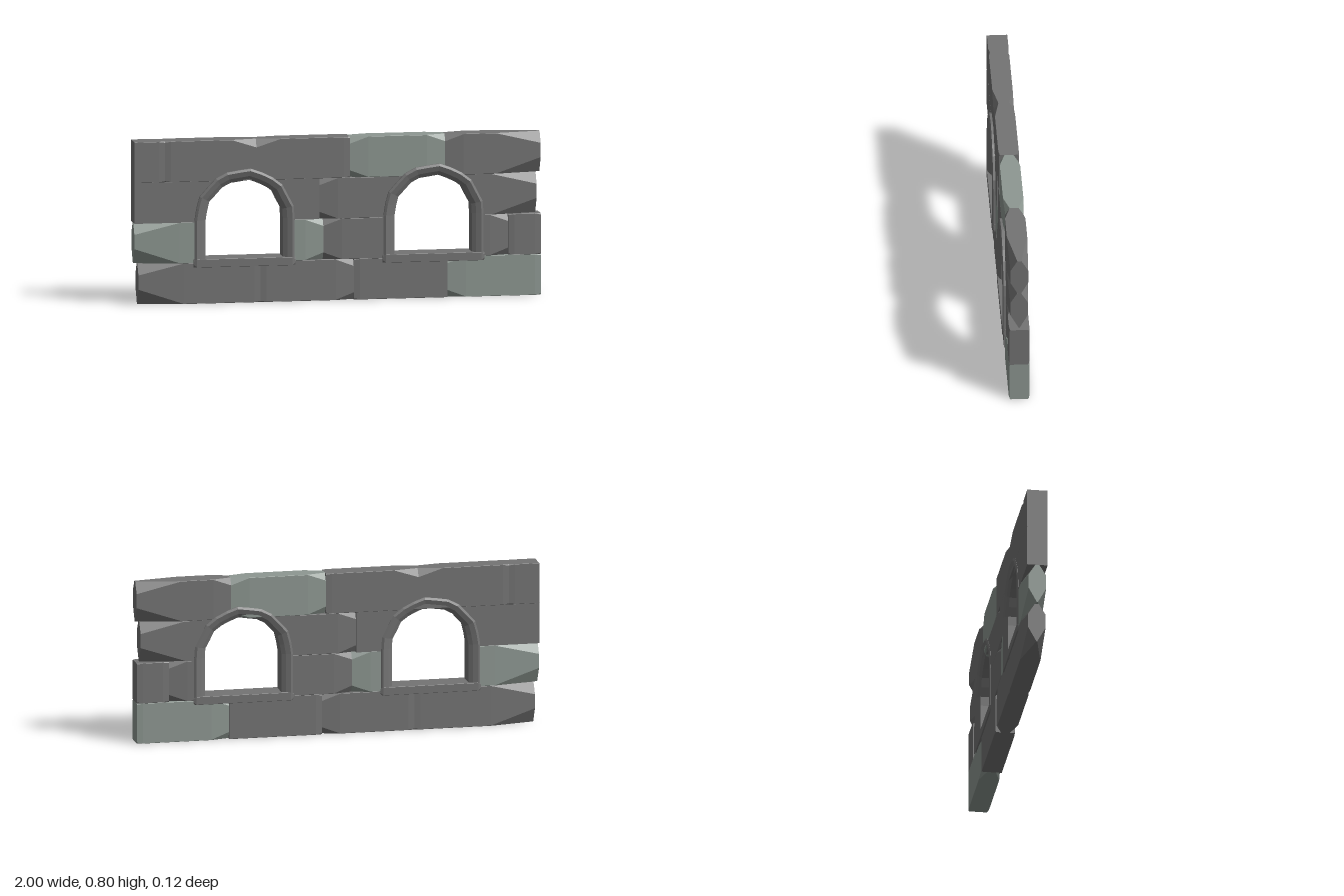
import * as THREE from 'three';

const stone = new THREE.MeshStandardMaterial({ color: 0x747474, flatShading: true });
const mossy = new THREE.MeshStandardMaterial({ color: 0x8e9892, flatShading: true });
const DEPTH = 0.05, WALL_Z = -0.005, COURSE = 0.2;

// Ways a block can end: taper length, top chamfer, bottom chamfer, depth inset.
const flush = [0.02, 0, 0, 0];
const tight = [0.03, 0.006, 0.006, 0.003];
const chipped = [0.09, 0.035, 0.035, 0.007];
const worn = [0.22, 0.055, 0.075, 0.007];

// Skin a list of equal-length point rings and cap both ends.
function loft(rings) {
  const n = rings[0].length, idx = [];
  rings.slice(1).forEach((_, i) => {
    for (let j = 0; j < n; j++) {
      const a = i * n + j, b = i * n + (j + 1) % n;
      idx.push(a, b, b + n, a, b + n, a + n);
    }
  });
  const last = (rings.length - 1) * n;
  for (let j = 1; j < n - 1; j++) idx.push(0, j + 1, j, last, last + j, last + j + 1);
  const g = new THREE.BufferGeometry();
  g.setAttribute('position', new THREE.Float32BufferAttribute(rings.flat(2), 3));
  g.setIndex(idx);
  const flat = g.toNonIndexed();
  flat.computeVertexNormals();
  return flat;
}

function add(group, name, geometry, material = stone) {
  const mesh = new THREE.Mesh(geometry, material);
  mesh.name = name;
  group.add(mesh);
}

// Eight-sided slice of a block at x, with chamfered top and bottom edges.
function slice(x, y0, y1, depth, zc, top, bottom, inset) {
  const t = Math.max(top, 0.0015), b = Math.max(bottom, 0.0015), d = depth - inset;
  const ct = Math.max(d - t * 0.6, 0.002), cb = Math.max(d - b * 0.6, 0.002);
  return [[y1, -ct], [y1, ct], [y1 - t, d], [y0 + b, d],
    [y0, cb], [y0, -cb], [y0 + b, -d], [y1 - t, -d]].map(([y, z]) => [x, y, zc + z]);
}

// Block along x; an optional dent chips its top edge at x = dent.
function hewn(y0, y1, x0, x1, left, right, dent, depth = DEPTH, zc = WALL_Z) {
  const at = (x, t = 0, b = 0, inset = 0) => slice(x, y0, y1, depth, zc, t, b, inset);
  const rings = [at(x0, ...left.slice(1)), at(x0 + left[0])];
  if (dent !== undefined) rings.push(at(dent - 0.12), at(dent, 0.04), at(dent + 0.12));
  rings.push(at(x1 - right[0]), at(x1, ...right.slice(1)));
  return loft(rings);
}

// Wall piece beside an arch, from the curve out to xOuter.
function spandrel(cx, side, xOuter) {
  const s = new THREE.Shape(), r = 0.22;
  s.moveTo(xOuter, 0.4);
  s.lineTo(cx + side * r, 0.4);
  for (let i = 0; i <= 6; i++) {
    const a = (i / 6) * Math.asin(0.19 / r);
    s.lineTo(cx + side * r * Math.cos(a), 0.41 + r * Math.sin(a));
  }
  s.lineTo(xOuter, 0.6);
  const g = new THREE.ExtrudeGeometry(s, { depth: 2 * DEPTH, bevelEnabled: false });
  return g.translate(0, 0, WALL_Z - DEPTH);
}

// Arched surround: straight jambs and uneven arch stones, flared lip front and back.
function surround(cx) {
  const half = [[0, 0.042], [0.02, 0.054], [0.045, 0.062], [0.056, 0.056]];
  const profile = [...half, ...half.map(([o, z]) => [o, -z]).reverse()];
  const ring = (a, y, jitter) => profile.map(([o, z]) => {
    const r = 0.19 + o + jitter;
    return [cx + r * Math.cos(a), y + r * Math.sin(a), z];
  });
  const rings = [ring(0, 0.2, 0)], N = 13;
  for (let i = 0; i <= N; i++) {
    const jitter = i % N === 0 ? 0 : 0.004 * Math.sin(i * 2.4);
    rings.push(ring((Math.PI * i) / N, 0.41, jitter));
  }
  rings.push(ring(Math.PI, 0.2, 0));
  return loft(rings);
}

// Blocks of each course from the ground up: x range, material, left end, right end, dent.
const courses = {
  bottom: [
    [-0.98, -0.38, stone, worn, tight],
    [-0.38, 0.08, stone, tight, chipped],
    [0.08, 0.54, stone, tight, flush],
    [0.54, 1, mossy, chipped, tight],
  ],
  lower: [
    [-1, -0.68, mossy, worn, flush],
    [-0.24, -0.07, mossy, flush, chipped],
    [-0.07, 0.25, stone, chipped, flush],
    [0.69, 0.84, stone, flush, chipped],
    [0.84, 1, stone, tight, tight],
  ],
  upper: [
    [-0.09, 0.2, stone, chipped, flush],
    [0.74, 0.98, stone, flush, worn],
  ],
  top: [
    [-1, -0.85, stone, flush, tight],
    [-0.85, 0.06, stone, tight, tight, -0.4],
    [0.06, 0.53, mossy, chipped, chipped],
    [0.53, 1, stone, chipped, worn],
  ],
};

export function createModel() {
  const model = new THREE.Group();
  const wall = new THREE.Group();
  wall.name = 'wall';
  model.add(wall);

  // Four courses of blocks
  Object.entries(courses).forEach(([course, blocks], row) => {
    blocks.forEach(([x0, x1, material, left, right, dent], i) => {
      const y = row * COURSE;
      add(wall, `${course}Block${i + 1}`, hewn(y, y + COURSE, x0, x1, left, right, dent), material);
    });
  });

  // Stones that hug the arches
  add(wall, 'rightArchOuterStone', spandrel(-0.46, -1, -1));
  add(wall, 'rightArchInnerStone', spandrel(-0.46, 1, -0.09));
  add(wall, 'leftArchInnerStone', spandrel(0.47, -1, 0.2));
  add(wall, 'leftArchOuterStone', spandrel(0.47, 1, 0.74));

  // Window openings
  const sillEnd = [0.015, 0.012, 0.012, 0.006];
  for (const [name, cx] of [['rightWindow', -0.46], ['leftWindow', 0.47]]) {
    const win = new THREE.Group();
    win.name = name;
    add(win, 'archSurround', surround(cx));
    add(win, 'sill', hewn(0.18, 0.22, cx - 0.25, cx + 0.25, sillEnd, sillEnd, undefined, 0.062, 0));
    model.add(win);
  }
  return model;
}
